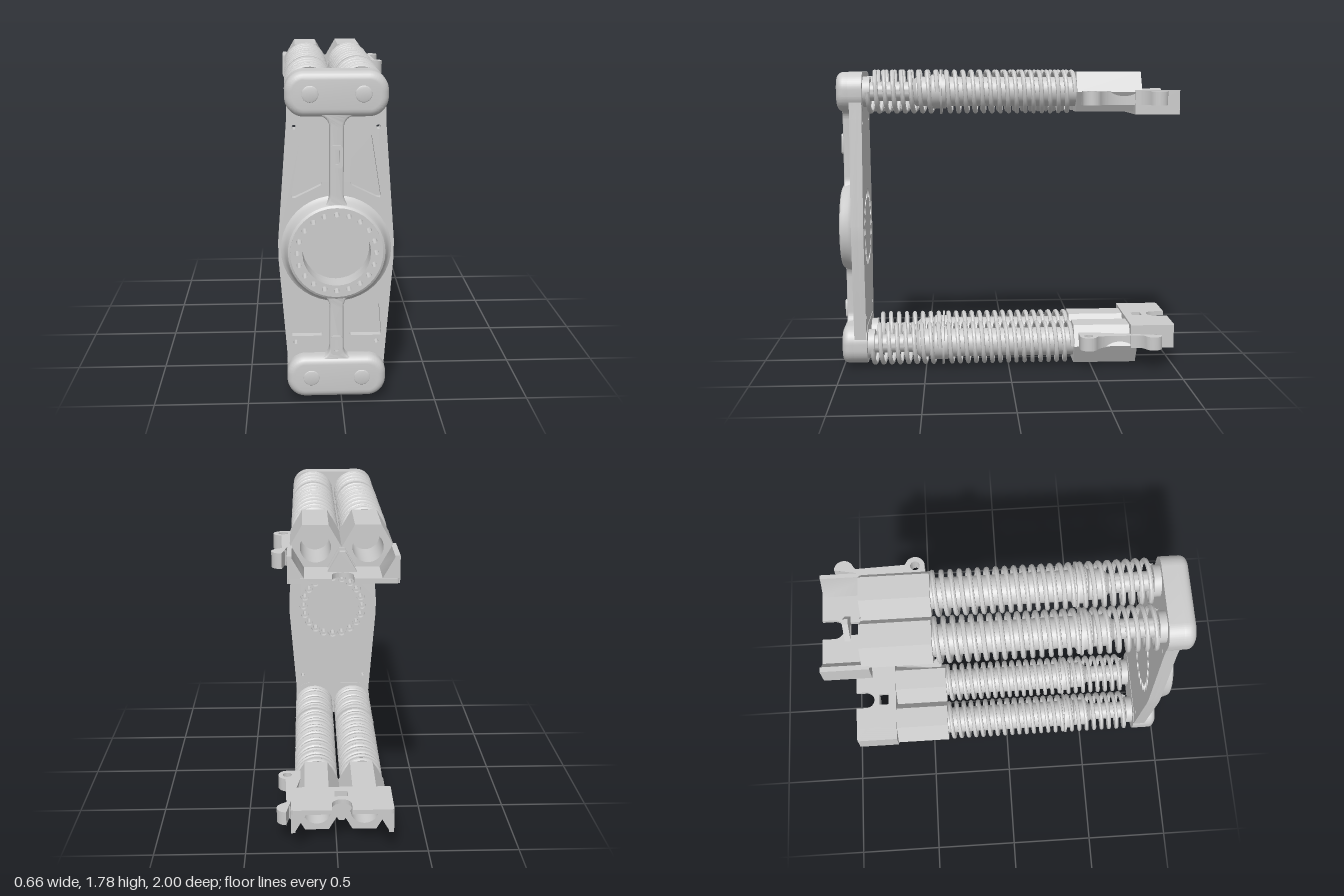
import * as THREE from 'three';
import { toCreasedNormals } from 'three/addons/utils/BufferGeometryUtils.js';

const CX = -0.028;                    // centre line of the plate
const HUB_Y = 0.835;
const SHAFT_X = [CX - 0.135, CX + 0.135];
const mat = new THREE.MeshStandardMaterial({ color: 0xcccccc });

function add(parent, name, geo, x = 0, y = 0, z = 0) {
  const mesh = new THREE.Mesh(toCreasedNormals(geo, 0.6), mat);
  mesh.name = name;
  mesh.position.set(x, y, z);
  parent.add(mesh);
  return mesh;
}

const poly = pts => new THREE.Shape(pts.map(p => new THREE.Vector2(p[0], p[1])));
const circle = (x, y, r, cls = THREE.Path) => new cls().absarc(x, y, r, 0, Math.PI * 2, false);

// Extrusion from z0 to z1, optionally with a rounded bevel on both rims
function slab(shape, z0, z1, bevel = 0) {
  const geo = new THREE.ExtrudeGeometry(shape, {
    depth: z1 - z0 - 2 * bevel, bevelEnabled: bevel > 0, bevelSize: bevel, bevelThickness: bevel,
    bevelOffset: -bevel, bevelSegments: 5, curveSegments: 16,
  });
  return geo.translate(0, 0, z0 + bevel);
}

// Plan shape (x, z) given a height from y0 to y1
function planSlab(shape, y0, y1) {
  const geo = new THREE.ExtrudeGeometry(shape, { depth: y1 - y0, bevelEnabled: false, curveSegments: 16 });
  return geo.rotateX(Math.PI / 2).translate(0, y1, 0);
}

// Profile of [radius, z] pairs turned about the z axis
const turned = pts =>
  new THREE.LatheGeometry(pts.map(p => new THREE.Vector2(p[0], p[1])), 40).rotateX(Math.PI / 2);

function roundedRect(x0, y0, x1, y1, r) {
  const s = new THREE.Shape();
  s.absarc(x1 - r, y1 - r, r, 0, Math.PI / 2);
  s.absarc(x0 + r, y1 - r, r, Math.PI / 2, Math.PI);
  s.absarc(x0 + r, y0 + r, r, Math.PI, Math.PI * 1.5);
  s.absarc(x1 - r, y0 + r, r, Math.PI * 1.5, Math.PI * 2);
  s.closePath();
  return s;
}

// Polygon path with its corners rounded off
function softPath(pts, r) {
  const p = new THREE.Path(), v = pts.map(q => new THREE.Vector2(q[0], q[1])), n = v.length;
  v.forEach((c, i) => {
    const a = v[(i + n - 1) % n].clone().sub(c).setLength(r).add(c);
    const b = v[(i + 1) % n].clone().sub(c).setLength(r).add(c);
    if (i) p.lineTo(a.x, a.y); else p.moveTo(a.x, a.y);
    p.quadraticCurveTo(c.x, c.y, b.x, b.y);
  });
  p.closePath();
  return p;
}

class Helix extends THREE.Curve {
  constructor(r, z0, z1, turns) { super(); Object.assign(this, { r, z0, z1, turns }); }
  getPoint(t, out = new THREE.Vector3()) {
    const a = t * this.turns * Math.PI * 2;
    return out.set(this.r * Math.cos(a), this.r * Math.sin(a), this.z0 + (this.z1 - this.z0) * t);
  }
}

function buildPlate() {
  const g = new THREE.Group();
  g.name = 'frontPlate';
  g.position.x = CX;
  const half = [[0.25, 0.1], [0.262, 0.27], [0.302, 0.79], [0.302, 0.88], [0.255, 1.5], [0.25, 1.68]];
  const outline = () => poly([...half, ...half.map(([x, y]) => [-x, y]).reverse()]);
  const boltHoles = (shape, r) => {
    for (let i = 0; i < 20; i++) {
      const a = i / 20 * Math.PI * 2;
      shape.holes.push(circle(0.205 * Math.sin(a), HUB_Y + 0.205 * Math.cos(a), r));
    }
  };
  const cornerHoles = shape => {
    for (const s of [-1, 1]) for (const y of [0.317, 1.48]) shape.holes.push(circle(s * 0.215, y, 0.012));
  };

  // Back skin with wide counterbores, front skin with pockets and the hub bore
  const back = outline();
  boltHoles(back, 0.028);
  cornerHoles(back);
  add(g, 'plateBack', slab(back, 0.853, 0.885));
  const front = outline();
  boltHoles(front, 0.014);
  cornerHoles(front);
  front.holes.push(circle(0, HUB_Y, 0.177));
  const upper = [[0.072, 1.445], [0.18, 1.445], [0.232, 1.11], [0.215, 1.11], [0.072, 1.18]];
  const lower = [[0.072, 0.35], [0.072, 0.49], [0.215, 0.545], [0.228, 0.53], [0.242, 0.35]];
  for (const s of [-1, 1]) for (const p of [upper, lower])
    front.holes.push(softPath(p.map(([x, y]) => [s * x, y]), 0.012));
  add(g, 'plateFront', slab(front, 0.885, 0.925));

  // Hub ring and its flared skirt
  const ring = circle(0, HUB_Y, 0.24, THREE.Shape);
  ring.holes.push(circle(0, HUB_Y, 0.177));
  boltHoles(ring, 0.014);
  add(g, 'hubRing', slab(ring, 0.925, 1));
  add(g, 'hubSkirt', turned([[0.297, 0.92], [0.28, 0.93], [0.267, 0.95], [0.26, 0.975], [0.252, 0.993], [0.24, 1]]), 0, HUB_Y);

  for (const top of [true, false]) {
    // End cap with a rounded front rim
    const y0 = top ? 1.54 : 0.025, y1 = y0 + 0.23;
    const cap = roundedRect(-0.262, y0, 0.262, y1, 0.1);
    add(g, 'endCapBase', slab(cap, 0.85, 0.93));
    add(g, 'endCapFace', slab(cap, 0.89, 1, 0.04));
    for (const s of [-1, 1])
      add(g, 'capBolt', slab(circle(0, 0, 0.043, THREE.Shape), 0.96, 1.003, 0.006), s * 0.134, top ? 1.658 : 0.14);

    // Centre rib, flared at both ends
    const a = top ? HUB_Y + 0.228 : HUB_Y - 0.228, b = top ? 1.58 : 0.21, d = Math.sign(b - a);
    const rib = new THREE.Shape();
    rib.moveTo(-0.08, a);
    rib.quadraticCurveTo(-0.036, a + d * 0.03, -0.036, a + d * 0.08);
    rib.lineTo(-0.036, b - d * 0.1);
    rib.quadraticCurveTo(-0.036, b - d * 0.04, -0.1, b - d * 0.03);
    rib.lineTo(-0.1, b);
    rib.lineTo(0.1, b);
    rib.lineTo(0.1, b - d * 0.03);
    rib.quadraticCurveTo(0.036, b - d * 0.04, 0.036, b - d * 0.1);
    rib.lineTo(0.036, a + d * 0.08);
    rib.quadraticCurveTo(0.036, a + d * 0.03, 0.08, a);
    add(g, 'centreRib', slab(rib, 0.91, 0.988, 0.012));
    const [n0, n1] = top ? [1.28, 1.4] : [0.27, 0.375];
    const nub = roundedRect(-0.03, n0, 0.03, n1, 0.015);
    nub.holes.push(roundedRect(-0.012, n0 + 0.02, 0.012, n1 - 0.02, 0.008));
    add(g, 'ribNub', slab(nub, 0.97, 0.998));
  }
  return g;
}

// Twin spring struts with a rear mount; s = 1 for the upper arm, -1 for the lower
function buildArm(s) {
  const g = new THREE.Group();
  g.name = s > 0 ? 'upperArm' : 'lowerArm';
  g.position.y = s > 0 ? 1.655 : 0.13;
  const hexPts = (x, r) => [0, 1, 2, 3, 4, 5].map(i => [x + r * Math.cos(i * Math.PI / 3), r * Math.sin(i * Math.PI / 3)]);

  for (const x of SHAFT_X) {
    add(g, 'strutBody', turned([[0, -0.5], [0.085, -0.5], [0.085, 0.36], [0.1, 0.37], [0.1, 0.45], [0.085, 0.46],
      [0.085, 0.54], [0.055, 0.57], [0.055, 0.81], [0.088, 0.81], [0.088, 0.86], [0, 0.86]]), x);
    add(g, 'springCollar', turned([[0, 0.39], [0.13, 0.39], [0.13, 0.402], [0, 0.402]]), x);
    add(g, 'rearSpring', new THREE.TubeGeometry(new Helix(0.116, -0.385, 0.378, 15.5), 400, 0.0135, 8), x);
    add(g, 'frontSpring', new THREE.TubeGeometry(new Helix(0.116, 0.415, 0.82, 8), 220, 0.0135, 8), x);
    const hex = poly(hexPts(x, 0.135));
    hex.holes.push(circle(x, 0, 0.08));
    add(g, 'hexSocket', slab(hex, -0.775, -0.395));
  }

  // Rear tray: slotted floor, sloping side walls and centre ridge
  const floor = new THREE.Shape();
  floor.moveTo(-0.31, -0.735);
  floor.lineTo(-0.31, -0.98);
  floor.quadraticCurveTo(-0.31, -1, -0.29, -1);
  floor.lineTo(CX - 0.055, -1);
  floor.lineTo(CX - 0.055, -0.935);
  floor.absarc(CX, -0.935, 0.055, Math.PI, 0, true);
  floor.lineTo(CX + 0.055, -1);
  floor.lineTo(0.23, -1);
  floor.quadraticCurveTo(0.25, -1, 0.25, -0.98);
  floor.lineTo(0.25, -0.735);
  floor.holes.push(poly([[CX - 0.037, -0.845], [CX + 0.037, -0.845], [CX + 0.037, -0.785], [CX - 0.037, -0.785]]));
  const span = (a, b) => [Math.min(s * a, s * b), Math.max(s * a, s * b)];
  add(g, 'trayFloor', planSlab(floor, ...span(-0.13, -0.104)));
  const wall = (outer, foot, top) => poly([[outer, -0.13 * s], [foot, -0.13 * s], [foot, -0.104 * s], [top, 0], [top, 0.01 * s], [outer, 0.01 * s]]);
  add(g, 'trayWallRight', slab(wall(-0.31, -0.223, -0.283), -0.995, -0.735));
  add(g, 'trayWallLeft', slab(wall(0.25, 0.167, 0.227), -0.995, -0.735));
  const ridge = poly([[CX - 0.075, -0.106 * s], [CX + 0.075, -0.106 * s], [CX + 0.015, 0], [CX - 0.015, 0]]);
  add(g, 'trayRidge', slab(ridge, -0.785, -0.735));
  add(g, 'trayRidge', slab(ridge, -0.878, -0.846));

  // Side bracket with two eyelets and an arched edge
  const lug = new THREE.Shape();
  lug.moveTo(0.18, -0.918);
  lug.absarc(0.277, -0.865, 0.053, -Math.PI / 2, Math.PI / 3, false);
  lug.quadraticCurveTo(0.228, -0.78, 0.228, -0.67);
  lug.quadraticCurveTo(0.228, -0.56, 0.3035, -0.521);
  lug.absarc(0.277, -0.475, 0.053, -Math.PI / 3, Math.PI / 2, false);
  lug.lineTo(0.18, -0.422);
  lug.holes.push(circle(0.277, -0.865, 0.026), circle(0.277, -0.475, 0.026));
  add(g, 'sideBracket', planSlab(lug, ...span(-0.075, 0.005)));
  return g;
}

export function createModel() {
  const model = new THREE.Group();
  model.name = 'twinSpringFork';
  model.add(buildPlate(), buildArm(1), buildArm(-1));
  return model;
}
